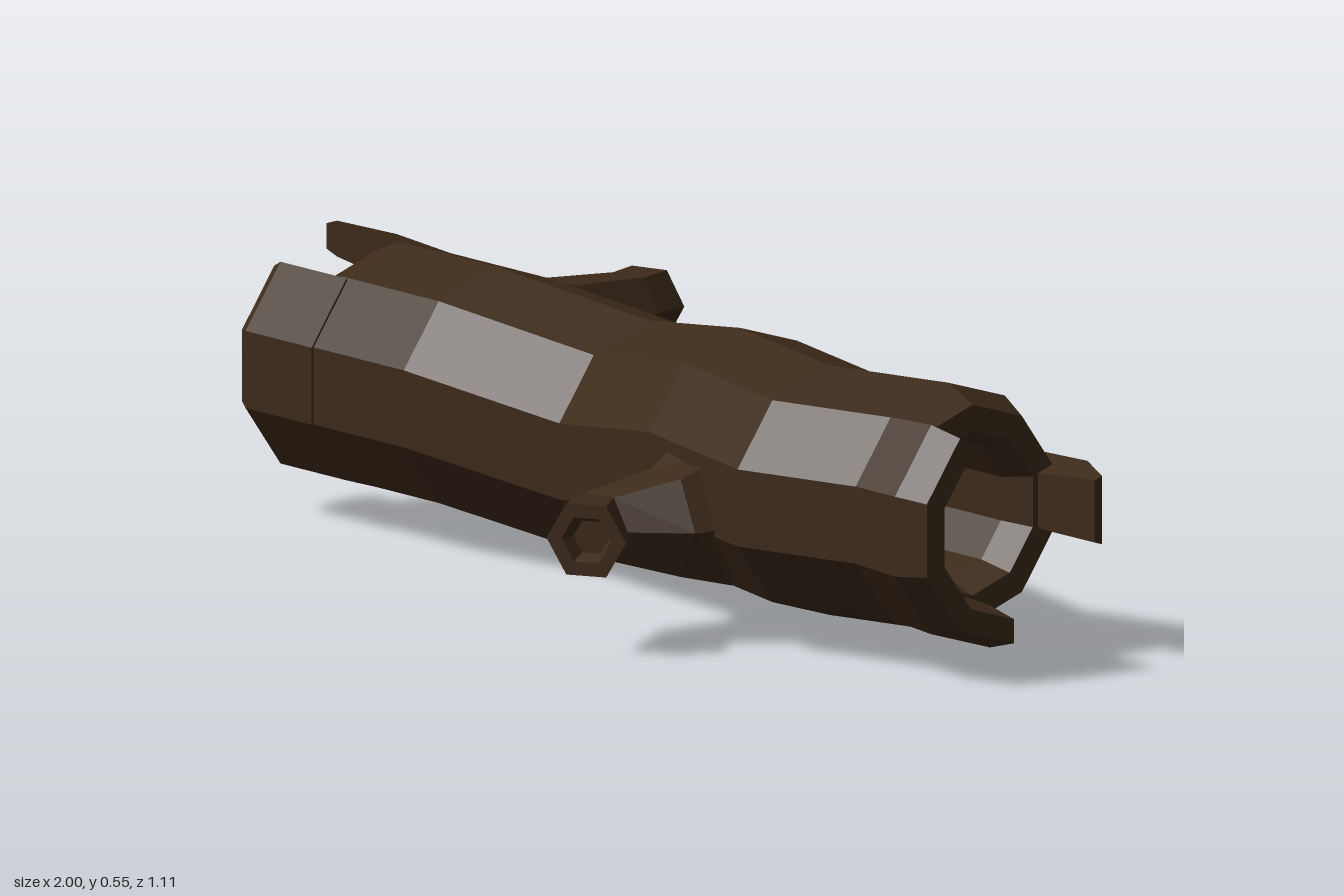
import * as THREE from 'three';

const bark = new THREE.MeshStandardMaterial({ color: 0x3d2a1a, flatShading: true, roughness: 1 });
const V = (x, y, z) => new THREE.Vector3(x, y, z);
const rad = THREE.MathUtils.degToRad;

// Joins closed loops of points into a skin; loops run counter-clockwise about the direction of travel
function loft(name, loops, caps = true) {
  const pos = [];
  const tri = (...pts) => pts.forEach((p) => pos.push(p.x, p.y, p.z));
  const n = loops[0].length;
  for (let s = 0; s < loops.length - 1; s++) {
    const a = loops[s], b = loops[s + 1];
    for (let i = 0; i < n; i++) {
      const j = (i + 1) % n;
      tri(a[i], a[j], b[j]);
      tri(a[i], b[j], b[i]);
    }
  }
  if (caps) {
    const first = [...loops[0]].reverse(), last = loops[loops.length - 1];
    for (const l of [first, last]) {
      for (let i = 0; i < n / 2 - 1; i++) {
        tri(l[i], l[i + 1], l[n - 2 - i]);
        tri(l[i], l[n - 2 - i], l[n - 1 - i]);
      }
    }
  }
  const geo = new THREE.BufferGeometry();
  geo.setAttribute('position', new THREE.Float32BufferAttribute(pos, 3));
  geo.computeVertexNormals();
  const mesh = new THREE.Mesh(geo, bark);
  mesh.name = name;
  return mesh;
}

// Point on a ring around the log axis, angle in degrees from the front (+z) up to +y
const onRing = (x, y, z, r, deg) => V(x, y + r * Math.sin(rad(deg)), z + r * Math.cos(rad(deg)));

// Ten-sided hollow trunk: outer skin from the left end to the right, then back through the bore
function trunk() {
  const stations = [
    [0.86, 0.3, 0, 0.212], [0.79, 0.3, 0, 0.243], [0.53, 0.3, 0.073, 0.243],
    [0.18, 0.3, -0.01, 0.243], [-0.17, 0.245, -0.088, 0.24], [-0.52, 0.3, -0.005, 0.243],
    [-0.8, 0.3, -0.005, 0.243], [-0.86, 0.3, 0, 0.215], [-0.86, 0.3, 0, 0.16],
    [-0.79, 0.297, -0.003, 0.137], [0.79, 0.297, -0.003, 0.137], [0.86, 0.3, 0, 0.16],
    [0.86, 0.3, 0, 0.212],
  ];
  const loops = stations.map((s) =>
    Array.from({ length: 10 }, (_, k) => onRing(...s, 18 + 36 * k)));
  return loft('hollowTrunk', loops, false);
}

// Broken strip of bark sticking out of one end (side = 1 or -1) over a range of angles
function splinter(name, side, fromDeg, toDeg, sections) {
  const steps = Math.round((toDeg - fromDeg) / 36);
  const loops = sections.map(([x, rOut, rIn]) => {
    const loop = [];
    for (let k = 0; k <= steps; k++) loop.push(onRing(side * x, 0.3, 0, rOut, fromDeg + 36 * k));
    for (let k = steps; k >= 0; k--) loop.push(onRing(side * x, 0.3, 0, rIn, fromDeg + 36 * k));
    return side > 0 ? loop.reverse() : loop;
  });
  return loft(name, loops);
}

// Six-sided branch stub along nodes [centre, direction, radius], with a sunken tip
function branch(name, nodes) {
  const [tip, dir, r] = nodes[nodes.length - 1];
  const inward = tip.clone().addScaledVector(dir.clone().normalize(), -0.03);
  const all = [...nodes, [tip, dir, r * 0.62], [inward, dir, r * 0.45]];
  const loops = all.map(([c, d, radius]) => {
    const w = d.clone().normalize();
    const u = V(0, 1, 0).cross(w).normalize();
    const v = w.clone().cross(u);
    return Array.from({ length: 6 }, (_, k) => c.clone()
      .addScaledVector(u, radius * Math.cos(rad(60 * k)))
      .addScaledVector(v, radius * Math.sin(rad(60 * k))));
  });
  return loft(name, loops);
}

export function createModel() {
  const log = new THREE.Group();
  log.name = 'hollowLog';
  log.add(trunk());

  // Splintered ends
  log.add(
    splinter('leftFrontSplinter', 1, -90, 54, [[0.78, 0.243, 0.16], [0.91, 0.252, 0.17], [0.98, 0.232, 0.185]]),
    splinter('leftBackSplinter', 1, 162, 198, [[0.78, 0.243, 0.16], [0.92, 0.25, 0.185], [1.0, 0.215, 0.195]]),
    splinter('rightFrontSplinter', -1, -90, 54, [[0.78, 0.243, 0.16], [0.97, 0.243, 0.17], [1.0, 0.225, 0.185]]),
    splinter('rightTopSplinter', -1, 90, 126, [[0.78, 0.243, 0.16], [0.97, 0.255, 0.185], [1.0, 0.245, 0.195]]),
    splinter('rightBackSplinter', -1, 162, 198, [[0.78, 0.243, 0.16], [0.965, 0.265, 0.2], [1.0, 0.22, 0.205]]),
  );

  // Branch stubs
  log.add(
    branch('frontBranch', [
      [V(0.32, 0.24, 0.2), V(0, 0, 1), 0.15],
      [V(0.32, 0.235, 0.3), V(-0.2, 0, 1), 0.11],
      [V(0.265, 0.235, 0.42), V(0.12, 0, 1), 0.072],
      [V(0.335, 0.235, 0.515), V(0.5, 0, 0.87), 0.08],
    ]),
    branch('backBranch', [
      [V(-0.69, 0.34, -0.18), V(0, 0.1, -1), 0.15],
      [V(-0.665, 0.37, -0.3), V(0.05, 0, -1), 0.085],
      [V(-0.655, 0.37, -0.46), V(-0.2, 0, -1), 0.074],
      [V(-0.675, 0.367, -0.53), V(-0.33, 0, -1), 0.077],
    ]),
  );
  return log;
}
